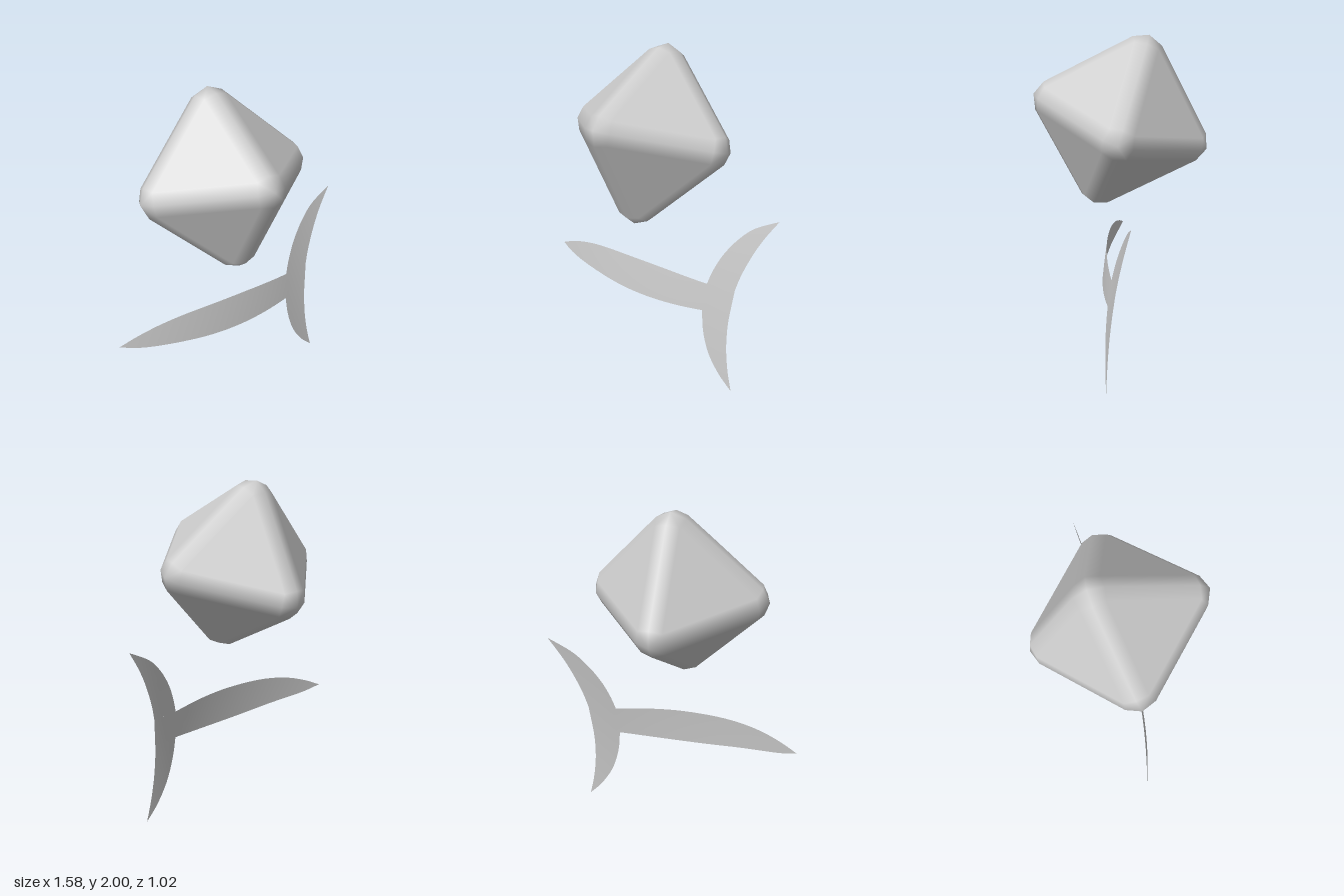
import * as THREE from 'three';

const material = new THREE.MeshStandardMaterial({ color: 0xcccccc });
const sheetMaterial = new THREE.MeshStandardMaterial({ color: 0xcccccc, side: THREE.DoubleSide });

function buildGeometry(positions, normals) {
  const g = new THREE.BufferGeometry();
  g.setAttribute('position', new THREE.Float32BufferAttribute(positions, 3));
  g.setAttribute('normal', new THREE.Float32BufferAttribute(normals, 3));
  return g;
}

// Octahedron with rounded edges: a core octahedron swept by a ball
function roundedOctahedron(core, radius) {
  const pos = [], nor = [];
  for (const sx of [1, -1]) for (const sy of [1, -1]) for (const sz of [1, -1]) {
    const sign = new THREE.Vector3(sx, sy, sz);
    const flip = sx * sy * sz < 0;
    // corner of the core on one axis, pushed out along a direction
    const vertex = (axis, dir) => {
      const n = new THREE.Vector3(...dir).normalize().multiply(sign);
      const p = new THREE.Vector3().setComponent(axis, core).multiply(sign).addScaledVector(n, radius);
      return { p, n };
    };
    const tri = (a, b, c) => {
      for (const v of flip ? [a, c, b] : [a, b, c]) {
        pos.push(...v.p.toArray());
        nor.push(...v.n.toArray());
      }
    };
    const quad = (a, b, c, d) => { tri(a, b, c); tri(a, c, d); };
    const face = [1, 1, 1];
    tri(vertex(0, face), vertex(1, face), vertex(2, face));
    for (let i = 0; i < 3; i++) {
      const j = (i + 1) % 3, k = (i + 2) % 3;
      const tip = [0, 0, 0], edgeJ = [1, 1, 1], edgeK = [1, 1, 1];
      tip[i] = 1;
      edgeJ[k] = 0;
      edgeK[j] = 0;
      // half of the rounded edge between two corners
      quad(vertex(i, edgeJ), vertex(j, edgeJ), vertex(j, face), vertex(i, face));
      // quarter of the rounded tip
      quad(vertex(i, tip), vertex(i, edgeJ), vertex(i, face), vertex(i, edgeK));
    }
  }
  return buildGeometry(pos, nor);
}

// Gentle bow shared by the whole thin sheet
function bow(x, y) {
  const h = y - 0.58, r = Math.max(0, x - 0.4);
  return 0.099 - 0.045 * x - 0.208 * x * x + 0.47 * r * r - 0.12 * h - 0.06 * h * h;
}

function bowNormal(x, y) {
  const e = 0.001;
  return new THREE.Vector3(
    (bow(x - e, y) - bow(x + e, y)) / (2 * e), (bow(x, y - e) - bow(x, y + e)) / (2 * e), 1).normalize();
}

// Bowed strip between two outline curves given as [x, y] points
function strip(name, upper, lower, steps = 24, across = 4) {
  const sample = (pts) => new THREE.SplineCurve(pts.map(([x, y]) => new THREE.Vector2(x, y))).getSpacedPoints(steps);
  const a = sample(upper), b = sample(lower);
  const pos = [], nor = [], index = [];
  for (let i = 0; i <= steps; i++) {
    for (let j = 0; j <= across; j++) {
      const p = b[i].clone().lerp(a[i], j / across);
      pos.push(p.x, p.y, bow(p.x, p.y));
      nor.push(...bowNormal(p.x, p.y).toArray());
      if (i < steps && j < across) {
        const q = i * (across + 1) + j, r = q + across + 1;
        index.push(q, r, r + 1, q, r + 1, q + 1);
      }
    }
  }
  const g = buildGeometry(pos, nor);
  g.setIndex(index);
  const mesh = new THREE.Mesh(g, sheetMaterial);
  mesh.name = name;
  return mesh;
}

export function createModel() {
  const model = new THREE.Group();
  model.name = 'gemAndFin';

  // Floating gem, tipped backwards
  const gem = new THREE.Mesh(roundedOctahedron(0.412, 0.125), material);
  gem.name = 'gem';
  gem.position.set(-0.055, 1.487, 0);
  gem.rotation.x = -0.31;
  model.add(gem);

  // Thin tail: a tapering blade joined to a two-lobed fin
  const tail = new THREE.Group();
  tail.name = 'tail';
  const jointTop = [0.39, 0.662], jointBottom = [0.377, 0.488];
  const innerTop = [0.567, 0.66], innerBottom = [0.549, 0.49];
  const point = [-0.79, 0.573], topTip = [0.787, 1.132], bottomTip = [0.6, 0.003];
  tail.add(
    strip('blade',
      [point, [-0.67, 0.625], [-0.52, 0.668], [-0.34, 0.692], [-0.1, 0.697], [0.12, 0.688], jointTop],
      [point, [-0.66, 0.536], [-0.4, 0.503], [-0.2, 0.483], [0, 0.475], [0.2, 0.478], jointBottom]),
    strip('finRoot', [jointTop, innerTop], [jointBottom, innerBottom], 8),
    strip('upperLobe',
      [jointTop, [0.42, 0.755], [0.47, 0.86], [0.545, 0.965], [0.64, 1.055], topTip],
      [innerTop, [0.59, 0.745], [0.625, 0.84], [0.67, 0.94], [0.72, 1.03], topTip]),
    strip('lowerLobe',
      [innerBottom, [0.545, 0.4], [0.55, 0.27], [0.57, 0.13], bottomTip],
      [jointBottom, [0.387, 0.39], [0.41, 0.29], [0.45, 0.19], [0.52, 0.085], bottomTip]));
  model.add(tail);
  return model;
}
